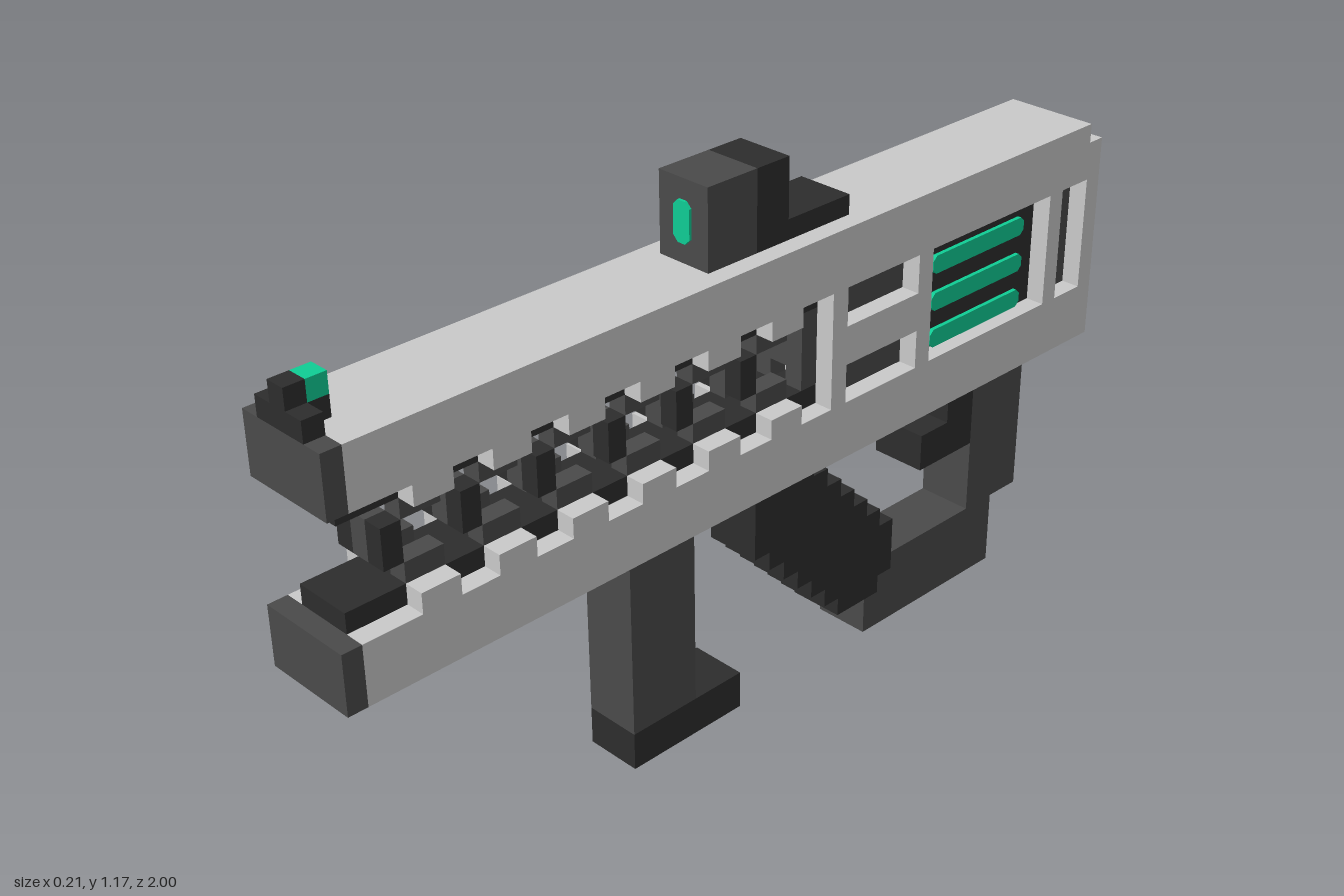
import * as THREE from 'three';

const V = 1 / 24; // one block of the grid

const mat = (name, color) => {
  const m = new THREE.MeshStandardMaterial({ color });
  m.name = name;
  return m;
};

export function createModel() {
  const light = mat('lightGrey', 0xc9c9c9);
  const grey = mat('darkGrey', 0x4a4a4a);
  const black = mat('nearBlack', 0x2d2d2d);
  const green = mat('glowGreen', 0x0fcc94);
  const model = new THREE.Group();

  // Box in grid units: x range, y range, and f = distance back from the muzzle
  function box(name, m, x0, x1, y0, y1, f0, f1, parent = model) {
    const g = new THREE.BoxGeometry((x1 - x0) * V, (y1 - y0) * V, (f1 - f0) * V);
    const mesh = new THREE.Mesh(g, m);
    mesh.name = name;
    mesh.position.set((x0 + x1) / 2 * V, (y0 + y1) / 2 * V, 1 - (f0 + f1) / 2 * V);
    parent.add(mesh);
    return mesh;
  }
  // Box centred on x with half width w
  const mid = (name, m, w, ...r) => box(name, m, -w, w, ...r);

  // Thin plate with clipped corners, extruded along z
  function pill(name, w, h, depth, c) {
    const s = new THREE.Shape();
    const a = w / 2, b = h / 2;
    [[-a + c, -b], [a - c, -b], [a, -b + c], [a, b - c], [a - c, b], [-a + c, b], [-a, b - c], [-a, -b + c]]
      .forEach(([x, y], i) => (i ? s.lineTo(x * V, y * V) : s.moveTo(x * V, y * V)));
    const g = new THREE.ExtrudeGeometry(s, { depth, bevelEnabled: false });
    const mesh = new THREE.Mesh(g, green);
    mesh.name = name;
    model.add(mesh);
    return mesh;
  }

  // Upper and lower beams with dark muzzle caps
  mid('upperBeam', light, 2.5, 21, 24, 1, 47);
  mid('upperBeamEnd', light, 2.5, 21, 23, 47, 48);
  mid('lowerBeam', light, 2.5, 12, 15, 1, 48);
  mid('upperMuzzleCap', grey, 2.5, 21, 24, 0, 1);
  mid('lowerMuzzleCap', grey, 2.5, 12, 15, 0, 1);

  // Rear body core; the coloured sections are the floors of the recesses
  [[28, 29, light], [29, 34, grey], [34, 35, light], [35, 44, black], [44, 45, light], [45, 47, grey], [47, 48, light]]
    .forEach(([f0, f1, m]) => mid('bodyCore', m, 1.5, 15, 21, f0, f1));

  // Inner rails of the open barrel
  mid('upperRail', black, 1.5, 20, 21, 1, 28);
  mid('lowerRail', black, 1.5, 15, 16, 1, 28);

  for (const s of [-1, 1]) {
    const side = new THREE.Group();
    side.name = s > 0 ? 'leftSide' : 'rightSide';
    model.add(side);
    const x0 = s > 0 ? 1.5 : -2.5, x1 = x0 + 1;

    // Frame around the recesses
    for (const [f0, f1] of [[28, 29], [34, 35], [44, 45], [47, 48]]) box('sideFrame', light, x0, x1, 15, 21, f0, f1, side);
    box('sideCrossbar', light, x0, x1, 17, 19, 29, 34, side);

    // Teeth along both beams
    for (let f = 4; f < 28; f += 4) {
      box('upperTooth', light, x0, x1, 20, 21, f, f + 2, side);
      box('lowerTooth', light, x0, x1, 15, 16, f, f + 2, side);
    }

    // Barrel coil: posts and the links between them
    const c0 = s > 0 ? 0.5 : -1.5, c1 = c0 + 1;
    for (let f = 3; f < 28; f += 4) {
      box('coilPost', f < 27 ? black : grey, c0, c1, 17, 19, f, f + 1, side);
      if (f > 23) continue;
      box('upperCoilLink', grey, c0, c1, 19, 20, f + 1, f + 3, side);
      box('lowerCoilLink', grey, c0, c1, 16, 17, f + 1, f + 3, side);
    }
    box('upperCoilEnd', grey, c0, c1, 19, 20, 27, 28, side);
    box('lowerCoilEnd', grey, c0, c1, 16, 17, 27, 28, side);

    // Glowing strips in the large recess
    for (const y of [15.5, 17.5, 19.5]) {
      const p = pill('glowStrip', 7, 0.96, 0.009, 0.25);
      p.rotation.y = s * Math.PI / 2;
      p.position.set(s * 1.5 * V, y * V, 1 - 39.5 * V);
    }
  }
  for (let f = 3; f < 28; f += 4) mid('coilCentre', grey, 0.5, 17, 19, f, f + 1);

  // Front sight
  mid('frontSightBase', black, 1.5, 24, 25, 0, 1);
  mid('frontSightPost', black, 0.5, 25, 26, 0, 1);
  mid('frontSightStep', black, 0.5, 24, 25, 1, 2);
  mid('frontSightBead', green, 0.5, 25, 26, 1, 2);

  // Scope with a lens at each end
  mid('scopeFront', grey, 1.5, 24, 28, 21, 24);
  mid('scopeRear', black, 1.5, 24, 28, 24, 26);
  mid('scopeLedge', black, 1.5, 24, 25, 26, 30);
  pill('scopeFrontLens', 1, 2, 0.006, 0.28).position.set(0, 26 * V, 1 - 21 * V);
  pill('scopeRearLens', 0.9, 0.9, 0.006, 0.28).position.set(0, 26.5 * V, 1 - 26 * V - 0.006);

  // Fore grip
  mid('foreGrip', grey, 1.5, 2, 12, 16, 20);
  mid('foreGripFoot', black, 1.5, 0, 2, 16, 23);

  // Slanted stepped grip, one layer per row from the top down
  [[24, 28], [24, 29], [24, 30], [24, 31], [25, 32], [26, 33], [27, 34], [28, 34], [29, 34], [30, 33]]
    .forEach(([f0, f1], i) => mid('slantedGrip', black, 1.5, 11 - i, 12 - i, f0, f1));

  // Stock loop and inner hook
  mid('stockBase', grey, 1.5, 0, 4, 32, 42);
  mid('stockPost', grey, 1.5, 4, 12, 40, 44);
  mid('hookArm', black, 1.5, 8, 10, 36, 40);
  mid('hookRoot', black, 1.5, 10, 12, 38, 40);

  return model;
}
